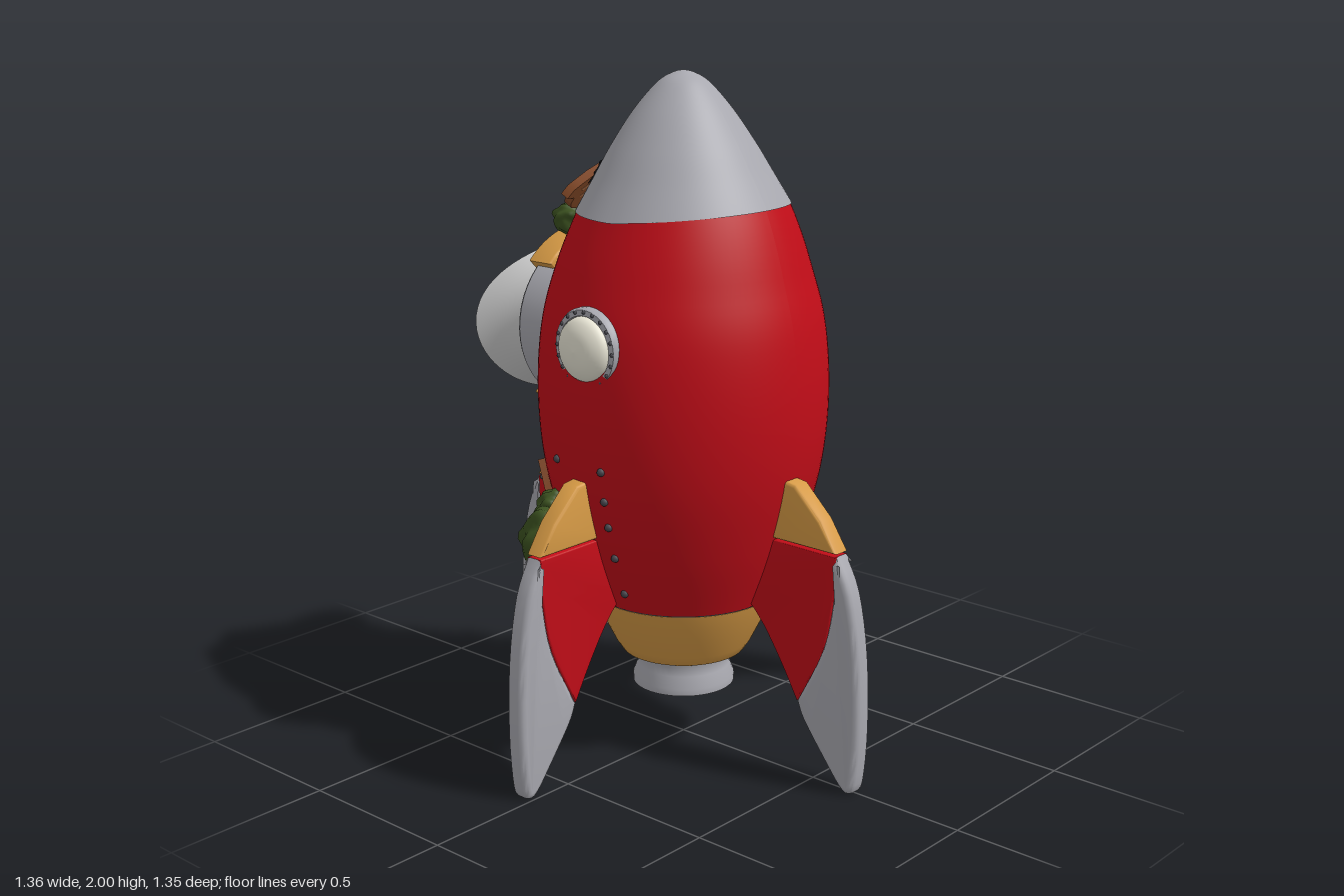
import * as THREE from 'three';
import { mergeVertices, toCreasedNormals } from 'three/addons/utils/BufferGeometryUtils.js';

const mat = (color, side = THREE.FrontSide) => new THREE.MeshStandardMaterial({ color, side });
const RED = mat(0xc20d18), GOLD = mat(0xd69a45), GREY = mat(0xa9a9b0), STEEL = mat(0xc4c4c6, THREE.DoubleSide);
const CREAM = mat(0xe9e6d6), GREEN = mat(0x3c5220), WOOD = mat(0x804726), GRAIN = mat(0xb5754a);
const DARK = mat(0x45454c), BLACK = mat(0x121214, THREE.DoubleSide);

const V = (x, y, z) => new THREE.Vector3(x, y, z);
const pts = (list) => list.map(([x, y]) => new THREE.Vector2(x, y));
const smooth = (list, n = 40) => new THREE.SplineCurve(pts(list)).getPoints(n);
const BODY = smooth([[0.28, 0.48], [0.35, 0.66], [0.405, 0.87], [0.423, 1.08], [0.408, 1.29], [0.362, 1.46], [0.303, 1.605]]);
const NOSE = smooth([[0.307, 1.605], [0.26, 1.69], [0.205, 1.79], [0.14, 1.89], [0.075, 1.965], [0.03, 1.993], [0, 2]]);

function add(parent, name, geometry, material) {
  const mesh = new THREE.Mesh(geometry, material);
  mesh.name = name;
  parent.add(mesh);
  return mesh;
}
const lathe = (profile, seg = 64) => new THREE.LatheGeometry(profile, seg);
const sharpLathe = (list, seg = 48) => toCreasedNormals(lathe(pts(list), seg), 0.6);

// Moves every vertex by a rule
function bend(geometry, rule) {
  const p = geometry.attributes.position, v = V(0, 0, 0);
  for (let i = 0; i < p.count; i++) {
    rule(v.fromBufferAttribute(p, i));
    p.setXYZ(i, v.x, v.y, v.z);
  }
  geometry.computeVertexNormals();
  return geometry;
}

// Hull radius at a height, and a point on the hull at an angle (0 = front, 90 = left)
function radiusAt(profile, y) {
  let i = 1;
  while (i < profile.length - 1 && profile[i].y < y) i++;
  const a = profile[i - 1], b = profile[i];
  return THREE.MathUtils.lerp(a.x, b.x, THREE.MathUtils.clamp((y - a.y) / (b.y - a.y), 0, 1));
}
function onHull(profile, degrees, y, lift = 0) {
  const t = THREE.MathUtils.degToRad(degrees), r = radiusAt(profile, y) + lift;
  return V(Math.sin(t) * r, y, Math.cos(t) * r);
}

// The seam between hull and nose rises toward the front; the hull has a shallow dent
function liftSeam(v) {
  const k = THREE.MathUtils.smoothstep(v.y, 1.4, 1.605) * (1 - THREE.MathUtils.smoothstep(v.y, 1.605, 1.95));
  v.y += 0.03 * Math.max(0, v.z / 0.3) * k;
}
function dentHull(v) {
  const a = Math.atan2(v.x, v.z), d = ((a - 2.0) / 0.5) ** 2 + ((v.y - 1.49) / 0.035) ** 2;
  const s = 1 - 0.05 * Math.exp(-d);
  v.x *= s;
  v.z *= s;
  liftSeam(v);
}

function extrude(shape, width, bevel) {
  const g = new THREE.ExtrudeGeometry(shape, {
    depth: width - 2 * bevel, bevelThickness: bevel, bevelSize: bevel, bevelOffset: -bevel, bevelSegments: 3, curveSegments: 20,
  });
  return toCreasedNormals(g.translate(0, 0, bevel - width / 2), 0.7);
}

// Fin in three pieces, pointing along +x
function makeFin(name) {
  const fin = new THREE.Group();
  fin.name = name;
  const seam = smooth([[0.585, 0.703], [0.578, 0.58], [0.545, 0.42], [0.455, 0.24]], 12);
  const inner = smooth([[0.455, 0.24], [0.39, 0.35], [0.32, 0.45], [0.24, 0.53]], 8);
  const outer = smooth([[0.455, 0.24], [0.48, 0.185], [0.56, 0.08], [0.61, 0.02], [0.64, 0.005], [0.662, 0.035],
    [0.675, 0.2], [0.667, 0.42], [0.635, 0.6], [0.585, 0.703]], 36);
  add(fin, 'finCap', extrude(new THREE.Shape(pts([[0.34, 0.71], [0.585, 0.71], [0.53, 0.795], [0.44, 0.882], [0.385, 0.89]])), 0.06, 0.01), GOLD);
  add(fin, 'finPanel', extrude(new THREE.Shape([...seam, ...inner, new THREE.Vector2(0.3, 0.705)]), 0.052, 0.004), RED);
  add(fin, 'finTip', extrude(new THREE.Shape([...outer, ...seam.slice(1, -1)]), 0.064, 0.018), GREY);
  return fin;
}

function rivet(parent, position, r = 0.012) {
  add(parent, 'rivet', new THREE.SphereGeometry(r, 10, 8), DARK).position.copy(position);
}
function rivetRing(parent, count, r, y, size) {
  for (let i = 0; i < count; i++) {
    const a = (i / count) * Math.PI * 2;
    rivet(parent, V(Math.cos(a) * r, y, Math.sin(a) * r), size);
  }
}

// Porthole with its axis along +y
function makePorthole() {
  const g = new THREE.Group();
  g.name = 'porthole';
  add(g, 'portholeRing', sharpLathe([[0.116, 0.33], [0.116, 0.4], [0.11, 0.41], [0.094, 0.412], [0.09, 0.4]]), GREY);
  add(g, 'portholeGlass', lathe(smooth([[0.094, 0.395], [0.085, 0.425], [0.05, 0.447], [0, 0.455]], 12), 40), CREAM);
  rivetRing(g, 20, 0.104, 0.41, 0.006);
  return g;
}

// Rear window with flange, flared shield and clamps; axis along -z
function makeRearWindow() {
  const g = new THREE.Group();
  g.name = 'rearWindow';
  const axis = new THREE.Group();
  axis.rotation.x = -Math.PI / 2;
  axis.scale.x = 1.06;
  g.add(axis);
  add(axis, 'windowFlange', sharpLathe([[0.24, 0.28], [0.25, 0.36], [0.25, 0.405], [0.243, 0.415], [0.2, 0.415], [0.195, 0.39]]), GREY);
  add(axis, 'windowGlass', lathe(smooth([[0.2, 0.4], [0.185, 0.43], [0.12, 0.458], [0, 0.47]], 14), 48), CREAM);
  rivetRing(axis, 20, 0.233, 0.414, 0.008);
  const shield = new THREE.PlaneGeometry(1, 1, 72, 10);
  bend(shield, (v) => {
    const a = (v.x + 0.5) * Math.PI * 2, t = v.y + 0.5, side = Math.abs(Math.cos(a)) ** 2.5;
    const depth = THREE.MathUtils.lerp(0.48 - 0.03 * Math.sin(a), 0.572, side);
    const r = 0.208 + (0.024 + 0.036 * side) * t * t;
    v.set(Math.cos(a) * r, 0.4 + (depth - 0.4) * t, Math.sin(a) * r);
  });
  add(axis, 'windowShield', shield, STEEL);
  for (const [mid, half] of [[86, 50], [270, 42]]) {
    const [a, b] = [mid - half, mid + half].map(THREE.MathUtils.degToRad);
    const arc = new THREE.Shape().absarc(0, 0, 0.278, a, b, false).absarc(0, 0, 0.238, b, a, true);
    add(g, 'windowClamp', extrude(arc, 0.09, 0.008), GOLD).position.z = -0.385;
  }
  g.position.y = 1.24;
  return g;
}

// Splintered plank from a to b, lying flat against the given direction
function plank(parent, a, b, out, w = 0.085, t = 0.028) {
  const len = a.distanceTo(b), up = b.clone().sub(a).normalize();
  const side = up.clone().cross(out).normalize(), face = side.clone().cross(up);
  const g = new THREE.Group();
  g.name = 'plank';
  const box = bend(new THREE.BoxGeometry(w, len, t, 5, 6, 1), (v) => {
    const end = Math.abs(v.y) / (len / 2);
    if (end > 0.99) v.y += 0.014 * Math.sin(v.x * 150 + v.y * 40);
    v.x *= 1 + 0.08 * Math.sin(v.y * 35);
  });
  add(g, 'board', toCreasedNormals(box, 0.5), WOOD);
  for (const [x, y, l] of [[-0.24, 0.12, 0.45], [0.2, -0.15, 0.5], [0.02, 0.25, 0.25]])
    add(g, 'woodGrain', new THREE.BoxGeometry(0.006, len * l, t + 0.003), GRAIN).position.set(x * w, y * len, 0);
  for (const s of [-1, 1]) rivet(g, V(s * w * 0.2, s * len * 0.4, t / 2), 0.007);
  g.applyMatrix4(new THREE.Matrix4().makeBasis(side, up, face).setPosition(a.clone().add(b).multiplyScalar(0.5)));
  parent.add(g);
}

// Lumpy leaf clump
function clump(parent, x, y, z, rx, ry = rx, rz = rx) {
  let g = new THREE.IcosahedronGeometry(1, 6);
  g.deleteAttribute('uv');
  g.deleteAttribute('normal');
  g = bend(mergeVertices(g), (v) => {
    const n = Math.sin(v.x * 4 + x * 30) * Math.sin(v.y * 4.5 + y * 20) * Math.sin(v.z * 4 + z * 40 + 1) + 0.35 * Math.sin(v.x * 7 + v.y * 6 - v.z * 5);
    v.multiplyScalar(1 + 0.17 * n).multiply(V(rx, ry, rz));
  });
  add(parent, 'foliage', g, GREEN).position.set(x, y, z);
}

// Jagged dark hole following the hull
function hole(parent, profile, degrees, y, halfAngle, halfHeight) {
  const n = 22, rings = 4, pos = [], index = [];
  for (let k = 0; k <= rings; k++) for (let i = 0; i < n; i++) {
    const a = (i / n) * Math.PI * 2, s = (k / rings) * (i % 2 ? 0.72 : 1 - 0.2 * Math.sin(i * 5));
    pos.push(...onHull(profile, degrees + halfAngle * s * Math.cos(a), y + halfHeight * s * Math.sin(a), 0.006).toArray());
    const j = (i + 1) % n, p = k * n;
    if (k < rings) index.push(p + i, p + n + i, p + n + j, p + i, p + n + j, p + j);
  }
  const g = new THREE.BufferGeometry();
  g.setAttribute('position', new THREE.Float32BufferAttribute(pos, 3));
  g.setIndex(index);
  g.computeVertexNormals();
  add(parent, 'hullHole', g, BLACK);
}

export function createModel() {
  const model = new THREE.Group();
  model.name = 'rocket';

  // Hull, nose, base and nozzle
  add(model, 'hull', bend(lathe(BODY, 96), dentHull), RED);
  add(model, 'noseCone', bend(lathe(NOSE, 96), liftSeam), GREY);
  add(model, 'hullFloor', sharpLathe([[0, 0.475], [0.275, 0.475], [0.281, 0.482]]), DARK);
  add(model, 'baseCup', sharpLathe([[0, 0.275], [0.15, 0.275], [0.185, 0.29], [0.205, 0.32], [0.235, 0.38], [0.26, 0.43], [0.276, 0.475], [0.262, 0.482], [0, 0.482]]), GOLD);
  add(model, 'nozzle', sharpLathe([[0, 0.255], [0.1, 0.255], [0.115, 0.22], [0.132, 0.18], [0.152, 0.18], [0.152, 0.2], [0.138, 0.235], [0.134, 0.26], [0.142, 0.285]]), GREY);

  // Four fins
  ['leftFin', 'backFin', 'rightFin', 'frontFin'].forEach((name, i) => {
    const fin = makeFin(name);
    fin.rotation.y = (i * Math.PI) / 2;
    if (i % 2 === 0) fin.position.z = -0.033;
    model.add(fin);
  });

  // Windows
  for (const s of [-1, 1]) {
    const porthole = makePorthole();
    porthole.rotation.z = -s * Math.PI / 2;
    porthole.position.y = 1.27;
    model.add(porthole);
  }
  model.add(makeRearWindow());

  // Rivet rows beside the side and back fins
  for (const s of [-1, 1]) for (const d of [82, 108, 125, 160])
    for (const y of d === 108 ? [0.93] : [0.54, 0.66, 0.76, 0.84, 0.93].slice(0, d > 110 ? 3 : 5))
      rivet(model, onHull(BODY, s * d, y));

  // Damage and boards nailed over it
  hole(model, NOSE, 180, 1.71, 42, 0.055);
  hole(model, BODY, 211, 0.68, 24, 0.1);
  plank(model, V(0.235, 1.43, -0.4), V(0.05, 1.78, -0.245), V(0.1, 0.4, -1));
  plank(model, V(0.08, 1.74, -0.255), V(-0.145, 1.62, -0.315), V(-0.1, 0.5, -1));
  plank(model, onHull(BODY, 189, 0.8, 0.01), onHull(BODY, 232, 0.55, 0.04), onHull(BODY, 211, 0).setY(0));
  plank(model, onHull(BODY, 220, 0.85, 0.01), onHull(BODY, 238, 0.5, 0.05), onHull(BODY, 224, 0).setY(0));
  plank(model, V(0.45, 0.73, -0.085), V(0.64, 0.36, -0.09), V(0, 0, -1));

  // Foliage: left side, right side, upper back
  [[0.47, 0.78, -0.08, 0.085, 0.085, 0.09], [0.42, 0.86, -0.05, 0.065, 0.07, 0.07], [0.41, 0.82, -0.15, 0.06], [0.37, 0.76, -0.23, 0.04],
    [0.34, 0.8, -0.29, 0.045], [0.32, 0.85, -0.31, 0.028], [0.35, 1.035, -0.25, 0.038], [0.33, 1.01, -0.29, 0.028], [0.38, 1.035, -0.205, 0.028],
    [-0.43, 0.69, -0.13, 0.07, 0.1, 0.085], [-0.38, 0.6, -0.15, 0.085, 0.1, 0.085], [-0.3, 0.45, -0.17, 0.07, 0.085, 0.07], [-0.36, 0.77, -0.18, 0.05],
    [-0.02, 1.6, -0.365, 0.065, 0.055, 0.05], [-0.09, 1.55, -0.37, 0.045], [0.06, 1.54, -0.38, 0.04]].forEach((c) => clump(model, ...c));
  for (const path of [
    [V(0.4, 0.82, -0.16), V(0.39, 0.88, -0.2), V(0.37, 0.94, -0.24), V(0.35, 1.03, -0.25)],
    [V(0.38, 0.91, -0.22), V(0.37, 0.96, -0.21), V(0.38, 1.03, -0.205)],
    [V(0.38, 0.91, -0.22), V(0.35, 0.93, -0.28), V(0.33, 1.01, -0.29)],
    [V(0.4, 0.82, -0.16), V(0.38, 0.84, -0.22), V(0.33, 0.81, -0.29)],
  ]) add(model, 'twig', new THREE.TubeGeometry(new THREE.CatmullRomCurve3(path), 16, 0.008, 8), GRAIN);

  return model;
}
